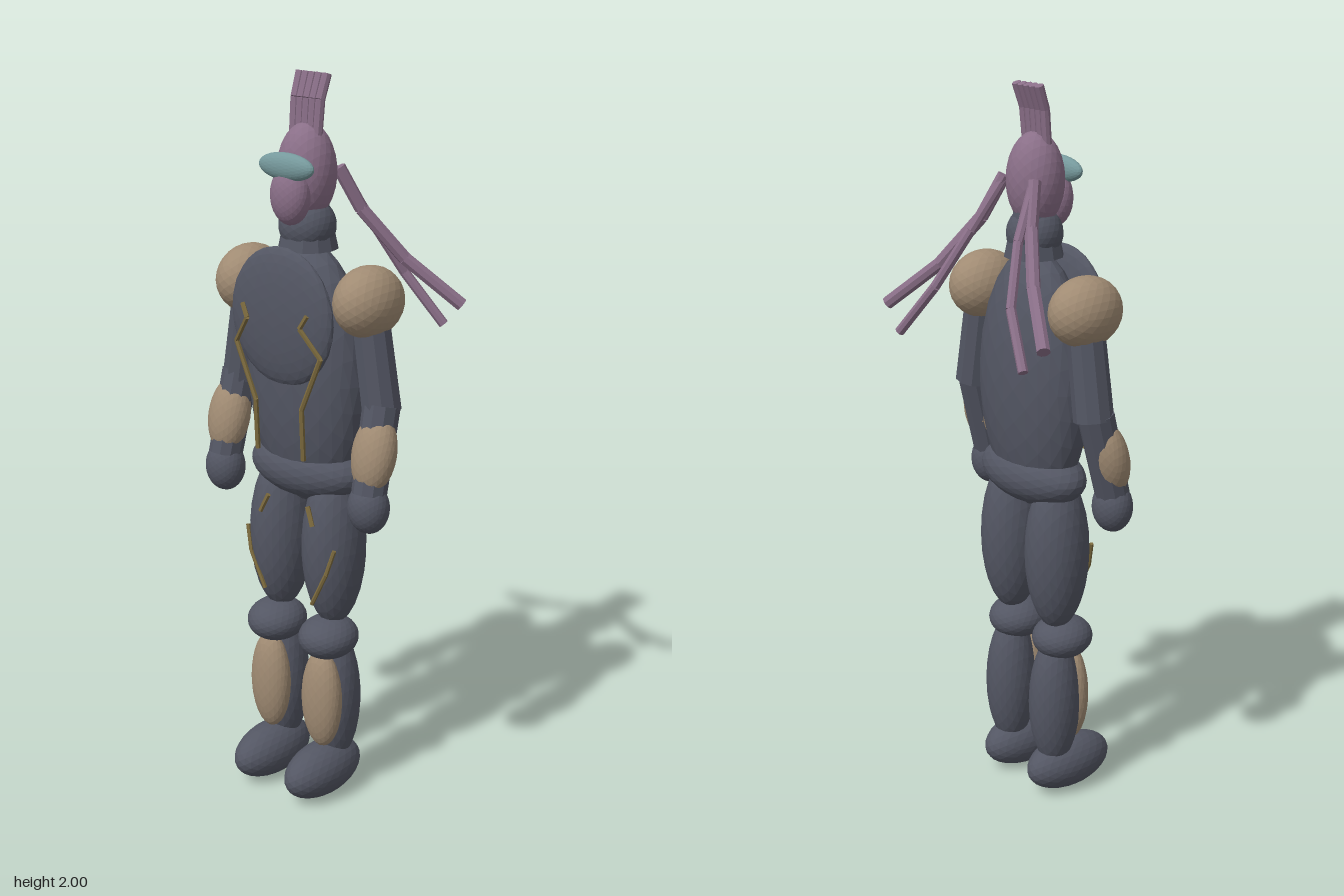
import * as THREE from 'three';

const paint = (name, color) => {
  const m = new THREE.MeshStandardMaterial({ color, flatShading: true });
  m.name = name;
  return m;
};

export function createModel() {
  const root = new THREE.Group();
  root.name = 'armouredFigure';
  const suit = paint('slateSuit', 0x535663);
  const armour = paint('tanArmour', 0xa08b73);
  const skin = paint('mauveSkin', 0x8a6f88);
  const visorTeal = paint('tealVisor', 0x76999c);
  const gold = paint('goldTrim', 0x7d6b3e);

  const ball = new THREE.IcosahedronGeometry(1, 4);
  const add = (name, geometry, material) => {
    const mesh = new THREE.Mesh(geometry, material);
    mesh.name = name;
    root.add(mesh);
    return mesh;
  };
  // Ellipsoid from centre and radii
  const blob = (name, material, center, radii, tiltX = 0) => {
    const mesh = add(name, ball, material);
    mesh.position.set(...center);
    mesh.scale.set(...radii);
    mesh.rotation.x = tiltX;
    return mesh;
  };
  // Tapered cylinder between two points
  const limb = (name, material, from, to, r0, r1, sides = 10) => {
    const a = new THREE.Vector3(...from);
    const b = new THREE.Vector3(...to);
    const dir = b.clone().sub(a);
    const mesh = add(name, new THREE.CylinderGeometry(r1, r0, dir.length(), sides), material);
    mesh.position.copy(a).add(b).multiplyScalar(0.5);
    mesh.quaternion.setFromUnitVectors(new THREE.Vector3(0, 1, 0), dir.normalize());
    return mesh;
  };
  // Bent rod made of straight segments
  const rod = (name, material, points, radius, sides) => {
    for (let i = 1; i < points.length; i++) {
      limb(name, material, points[i - 1], points[i], radius, radius, sides);
    }
  };

  // Head
  blob('head', skin, [0, 1.75, 0.04], [0.08, 0.127, 0.076]);
  blob('muzzle', skin, [0, 1.697, 0.105], [0.058, 0.078, 0.044]);
  blob('visor', visorTeal, [0, 1.772, 0.12], [0.091, 0.036, 0.024]);
  limb('neckCollar', suit, [0, 1.55, 0.035], [0, 1.69, 0.035], 0.08, 0.05, 12);
  blob('neck', suit, [0, 1.61, 0.038], [0.077, 0.075, 0.075]);

  // Crest of five bent quills
  for (let i = -2; i <= 2; i++) {
    const x = i * 0.022;
    rod('crestQuill', skin, [[x * 0.9, 1.83, 0.046], [x * 0.95, 1.935, 0.036], [x, 1.997, 0.013]], 0.0125, 8);
  }

  // Trunk
  blob('torso', suit, [0, 1.21, 0.038], [0.188, 0.36, 0.112]);
  blob('chestPlate', suit, [0, 1.385, 0.14], [0.172, 0.185, 0.037]);
  blob('pelvis', suit, [0, 0.95, 0.036], [0.185, 0.086, 0.102]);

  for (const s of [1, -1]) {
    const side = s > 0 ? 'left' : 'right';
    const flip = (points) => points.map(([x, y, z]) => [x * s, y, z]);

    // Trailing locks
    rod(side + 'OuterLock', skin,
      flip([[0.06, 1.76, -0.015], [0.1, 1.65, -0.06], [0.19, 1.52, -0.13], [0.32, 1.4, -0.21]]), 0.018, 8);
    rod(side + 'InnerLock', skin,
      flip([[0.06, 1.75, -0.02], [0.095, 1.62, -0.1], [0.155, 1.47, -0.175], [0.255, 1.335, -0.22]]), 0.0135, 8);

    // Arm
    blob(side + 'ShoulderPad', armour, [0.203 * s, 1.438, 0.035], [0.083, 0.094, 0.108]);
    limb(side + 'UpperArm', suit, [0.2 * s, 1.44, 0.032], [0.245 * s, 1.155, 0.03], 0.05, 0.054);
    limb(side + 'Forearm', suit, [0.248 * s, 1.17, 0.034], [0.255 * s, 0.94, 0.092], 0.05, 0.047);
    blob(side + 'ForearmGuard', armour, [0.256 * s, 1.048, 0.073], [0.063, 0.108, 0.052], -0.25);
    blob(side + 'Hand', suit, [0.255 * s, 0.905, 0.093], [0.058, 0.071, 0.053]);

    // Leg
    const lx = 0.094 * s;
    blob(side + 'Thigh', suit, [lx, 0.74, 0.04], [0.086, 0.23, 0.092]);
    blob(side + 'Knee', suit, [lx, 0.477, 0.062], [0.081, 0.06, 0.088]);
    blob(side + 'Shin', suit, [lx, 0.285, 0.034], [0.071, 0.2, 0.074]);
    blob(side + 'ShinGuard', armour, [lx, 0.297, 0.09], [0.064, 0.147, 0.045]);
    blob(side + 'Foot', suit, [lx, 0.08, 0.087], [0.073, 0.076, 0.142]);

    // Gold trim on chest and thigh
    rod(side + 'ChestTrim', gold, flip([[0.11, 1.41, 0.17], [0.09, 1.375, 0.176], [0.145, 1.3, 0.158],
      [0.08, 1.15, 0.157], [0.08, 1.01, 0.15]]), 0.007, 6);
    rod(side + 'ThighTrim', gold, flip([[0.155, 0.76, 0.112], [0.135, 0.69, 0.122], [0.085, 0.59, 0.122]]), 0.006, 6);
    rod(side + 'HipTrim', gold, flip([[0.07, 0.87, 0.122], [0.093, 0.82, 0.129]]), 0.007, 6);
  }
  return root;
}
